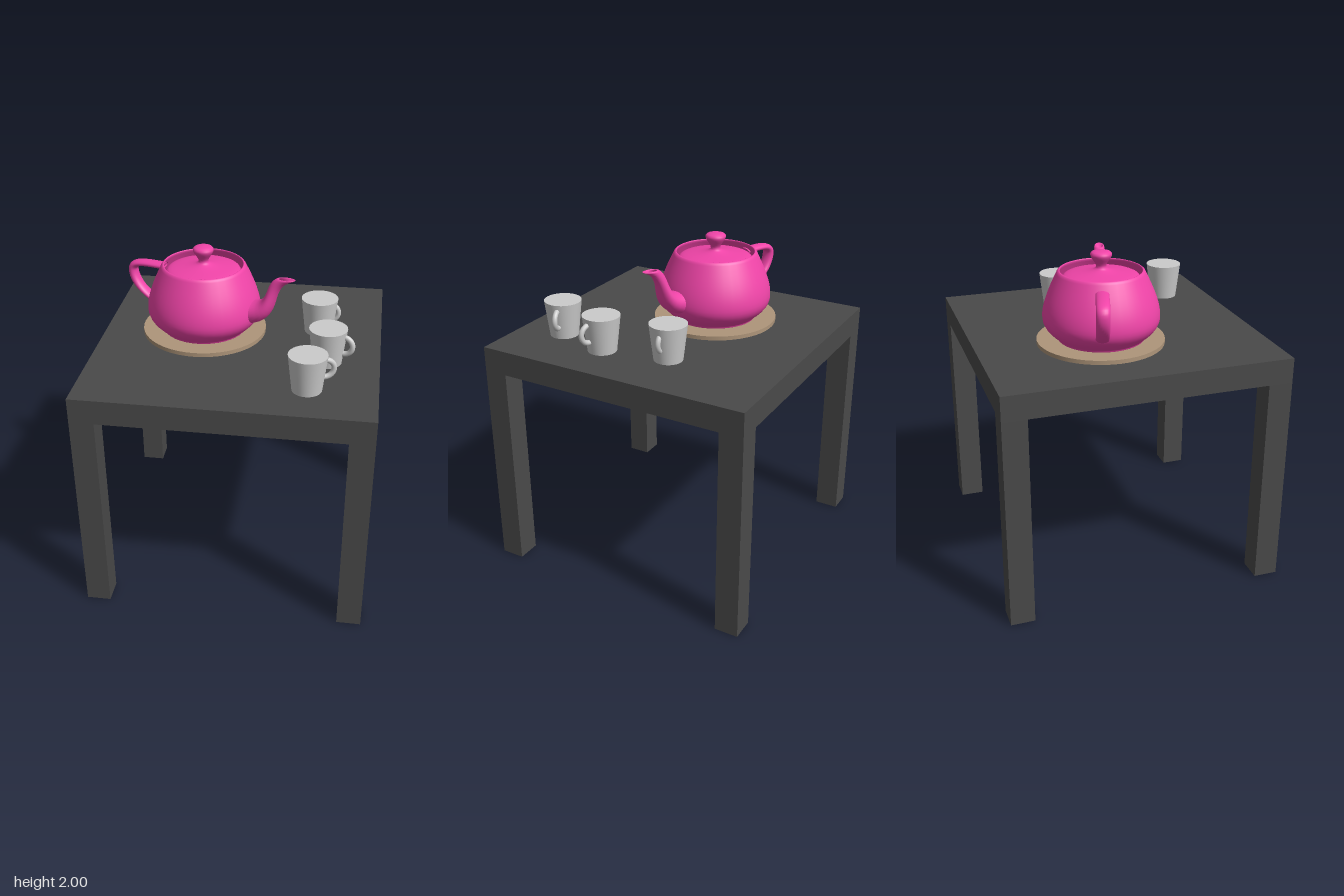
import * as THREE from 'three';
import { ParametricGeometry } from 'three/addons/geometries/ParametricGeometry.js';

const material = (color, side = THREE.FrontSide) => new THREE.MeshStandardMaterial({ color, side });

function addMesh(parent, name, geometry, mat, x = 0, y = 0, z = 0) {
  const mesh = new THREE.Mesh(geometry, mat);
  mesh.name = name;
  mesh.position.set(x, y, z);
  parent.add(mesh);
  return mesh;
}

// A chain of cubic curves; each segment is [x0,y0, x1,y1, x2,y2, x3,y3].
function cubicChain(segments) {
  const curves = segments.map(s => new THREE.CubicBezierCurve(
    ...[0, 2, 4, 6].map(i => new THREE.Vector2(s[i], s[i + 1]))));
  return {
    at(u) {
      const n = curves.length;
      const i = Math.min(n - 1, Math.floor(u * n));
      return curves[i].getPoint(u * n - i);
    },
    points(divisions) {
      const total = divisions * curves.length;
      return Array.from({ length: total + 1 }, (_, i) => this.at(i / total));
    }
  };
}

const lathe = segments => new THREE.LatheGeometry(cubicChain(segments).points(10), 40);

// Tube spanned between an upper and a lower path, with a rounded cross-section of varying width.
function spanTube(upper, lower, width, lengthSteps) {
  const a = cubicChain(upper), b = cubicChain(lower), w = cubicChain(width);
  return new ParametricGeometry((u, v, target) => {
    const side = v < 0.5 ? 1 : -1;
    const t = v < 0.5 ? v * 2 : 2 - v * 2;
    const p = a.at(u).lerp(b.at(u), t * t * (3 - 2 * t));
    target.set(p.x, p.y, side * w.at(u).y * 3 * t * (1 - t));
  }, lengthSteps, 24);
}

function createTable() {
  const table = new THREE.Group();
  table.name = 'table';
  const dark = material(0x4a4a4a);
  addMesh(table, 'tableTop', new THREE.BoxGeometry(1.7, 0.15, 1.7), dark, 0, 1.375, 0);
  const leg = new THREE.BoxGeometry(0.145, 1.3, 0.145);
  for (const x of [-1, 1]) for (const z of [-1, 1]) {
    addMesh(table, 'tableLeg', leg, dark, x * 0.7775, 0.65, z * 0.7775);
  }
  return table;
}

function createTeapot() {
  const pot = new THREE.Group();
  pot.name = 'teapot';
  const pink = material(0xf044a8, THREE.DoubleSide);

  // Body: base, belly, shoulder and rolled rim
  addMesh(pot, 'teapotBody', lathe([
    [0, 0, 1.425, 0, 1.5, 0.075, 1.5, 0.15],
    [1.5, 0.15, 1.5, 0.225, 2, 0.45, 2, 0.9],
    [2, 0.9, 2, 1.35, 1.75, 1.875, 1.5, 2.4],
    [1.5, 2.4, 1.4375, 2.53125, 1.3375, 2.53125, 1.4, 2.4]
  ]), pink);

  // Lid with its knob
  addMesh(pot, 'teapotLid', lathe([
    [1.3, 2.25, 1.3, 2.4, 0.4, 2.4, 0.2, 2.55],
    [0.2, 2.55, 0, 2.7, 0.8, 3.15, 0, 3.15]
  ]), pink);

  // Handle
  addMesh(pot, 'teapotHandle', spanTube(
    [[-1.5, 2.25, -2.5, 2.25, -3, 2.25, -3, 1.8], [-3, 1.8, -3, 1.35, -2.65, 0.9375, -1.9, 0.6]],
    [[-1.6, 2.025, -2.3, 2.025, -2.7, 2.025, -2.7, 1.8], [-2.7, 1.8, -2.7, 1.575, -2.5, 1.125, -2, 0.9]],
    [[0, 0.3, 0, 0.3, 0, 0.3, 0, 0.3]], 24), pink);

  // Spout, curling inward at the tip
  addMesh(pot, 'teapotSpout', spanTube(
    [[1.7, 1.425, 2.6, 1.425, 2.3, 2.1, 2.7, 2.4], [2.7, 2.4, 2.8, 2.475, 2.9, 2.475, 2.8, 2.4]],
    [[1.7, 0.6, 3.1, 0.825, 2.4, 2.025, 3.3, 2.4], [3.3, 2.4, 3.525, 2.49375, 3.45, 2.5125, 3.2, 2.4]],
    [[0, 0.66, 0, 0.66, 0, 0.25, 0, 0.25], [0, 0.25, 0, 0.25, 0, 0.15, 0, 0.15]], 24), pink);

  pot.scale.setScalar(0.173);
  pot.position.set(-0.242, 1.455, -0.103);
  pot.rotation.y = -0.29;
  return pot;
}

function createCup(x, z, turn, handleOffset) {
  const cup = new THREE.Group();
  cup.name = 'cup';
  const grey = material(0xcccccc);
  addMesh(cup, 'cupBody', new THREE.CylinderGeometry(0.112, 0.086, 0.22, 40), grey, 0, 0.11, 0);
  addMesh(cup, 'cupHandle', new THREE.TorusGeometry(0.053, 0.016, 12, 32), grey, handleOffset, 0.128, 0);
  cup.position.set(x, 1.45, z);
  cup.rotation.y = turn;
  return cup;
}

export function createModel() {
  const model = new THREE.Group();
  model.name = 'teaTable';
  model.add(createTable(), createTeapot());
  addMesh(model, 'trivet', new THREE.CylinderGeometry(0.38, 0.38, 0.025, 48), material(0xae957a), -0.242, 1.4625, -0.107);
  model.add(
    createCup(0.463, -0.178, 0, 0.064),
    createCup(0.54, 0.222, -0.28, 0.097),
    createCup(0.449, 0.557, 0.27, 0.097)
  );
  return model;
}
